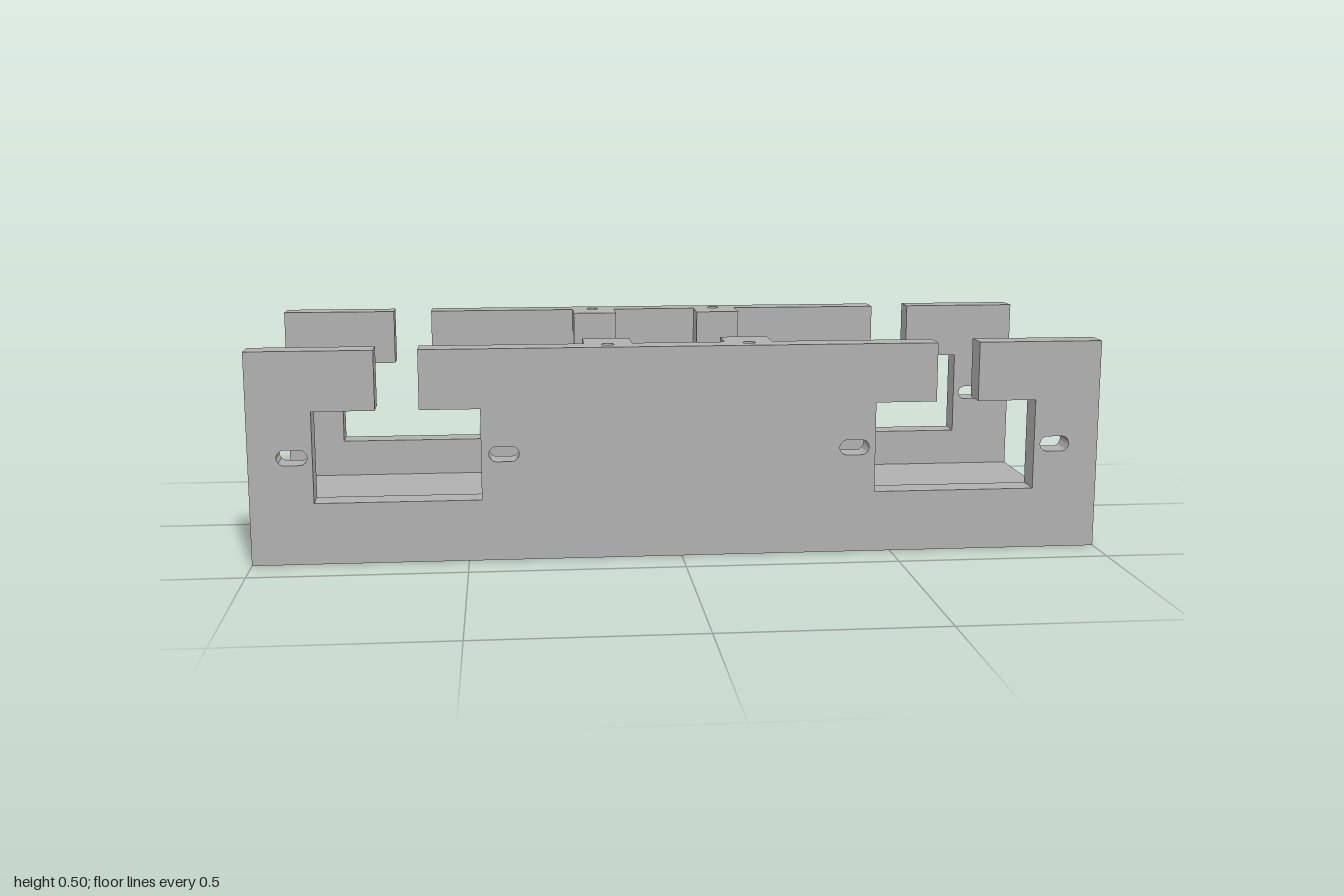
import * as THREE from 'three';
import { toCreasedNormals } from 'three/addons/utils/BufferGeometryUtils.js';

const grey = new THREE.MeshStandardMaterial({ color: 0xb0b0b0 });
grey.name = 'grey';

const polygon = (points, Type = THREE.Shape) => new Type(points.map(([x, y]) => new THREE.Vector2(x, y)));
const rect = (x0, x1, y0, y1) => polygon([[x0, y0], [x1, y0], [x1, y1], [x0, y1]]);

function circle(x, y, r, Type = THREE.Path) {
  const path = new Type();
  path.absarc(x, y, r, 0, Math.PI * 2, false);
  return path;
}

function hexagon(x, y, r) {
  const points = [];
  for (let i = 0; i < 6; i++) {
    const a = i * Math.PI / 3;
    points.push([x + r * Math.cos(a), y + r * Math.sin(a)]);
  }
  return polygon(points, THREE.Path);
}

function extrude(shape, depth) {
  const geometry = new THREE.ExtrudeGeometry(shape, { depth, bevelEnabled: false, curveSegments: 16 });
  return toCreasedNormals(geometry, 0.6);
}

// Plan outline (x, -z) raised from y0 to y1
const raise = (shape, y0, y1) => extrude(shape, y1 - y0).rotateX(-Math.PI / 2).translate(0, y0, 0);

export function createModel() {
  const model = new THREE.Group();
  model.name = 'mountingBracket';
  const add = (name, geometry) => {
    const mesh = new THREE.Mesh(geometry, grey);
    mesh.name = name;
    model.add(mesh);
  };

  const H = 0.5, FLOOR = 0.05, OUT = 0.4, INNER = 0.335, RIB = 0.25, CAP = 0.4;
  const ribs = [[-0.225, -0.112, -0.17], [0.107, 0.22, 0.163]]; // left, right, screw hole
  const bosses = [-0.13, 0.126];
  const bossY = 0.092;

  // Floor in two layers: hexagonal nut pockets below, round bores above
  const lower = rect(-1, 1, -OUT, OUT);
  const upper = rect(-1, 1, -INNER, INNER);
  for (const x of bosses) {
    lower.holes.push(hexagon(x, bossY, 0.043));
    upper.holes.push(circle(x, bossY, 0.03));
  }
  add('floorLower', raise(lower, 0, 0.03));
  add('floorUpper', raise(upper, 0.03, FLOOR));

  // Hollow standoffs
  for (const x of bosses) {
    const ring = circle(x, bossY, 0.05, THREE.Shape);
    ring.holes.push(circle(x, bossY, 0.03));
    add('standoff', raise(ring, FLOOR, 0.1));
  }

  // Side wall outline, with windows open to the top and seats for the rib caps
  const outline = [[-1, 0.03], [1, 0.03], [1, H]];
  const windowCut = (x) => outline.push(
    [x + 0.05, H], [x + 0.05, 0.36], [x + 0.19, 0.36], [x + 0.19, 0.145],
    [x - 0.195, 0.145], [x - 0.195, 0.36], [x - 0.05, 0.36], [x - 0.05, H]);
  windowCut(0.655);
  for (const [a, b] of [...ribs].reverse()) outline.push([b, H], [b, CAP], [a, CAP], [a, H]);
  windowCut(-0.658);
  outline.push([-1, H]);
  const wall = polygon(outline);

  // Rounded screw slots beside each window
  for (const x of [-0.9, -0.415, 0.41, 0.895]) {
    const r = 0.018, y = 0.253, slot = new THREE.Path();
    slot.absarc(x + 0.017, y, r, -Math.PI / 2, Math.PI / 2, false);
    slot.absarc(x - 0.017, y, r, Math.PI / 2, Math.PI * 1.5, false);
    slot.closePath();
    wall.holes.push(slot);
  }

  for (const side of [1, -1]) {
    const name = side > 0 ? 'front' : 'back';
    add(name + 'Wall', extrude(wall, OUT - INNER).translate(0, 0, side > 0 ? INNER : -OUT));

    // Ribs on the inside, each capped by a block with a blind screw hole
    for (const [a, b, hole] of ribs) {
      const rib = new THREE.BoxGeometry(b - a, CAP - FLOOR, INNER - RIB);
      add(name + 'Rib', rib.translate((a + b) / 2, (CAP + FLOOR) / 2, side * (INNER + RIB) / 2));
      const cap = side > 0 ? rect(a, b, -OUT, -RIB) : rect(a, b, RIB, OUT);
      cap.holes.push(circle(hole, -side * 0.352, 0.015));
      add(name + 'RibCap', raise(cap, CAP, H));
    }
  }
  return model;
}
